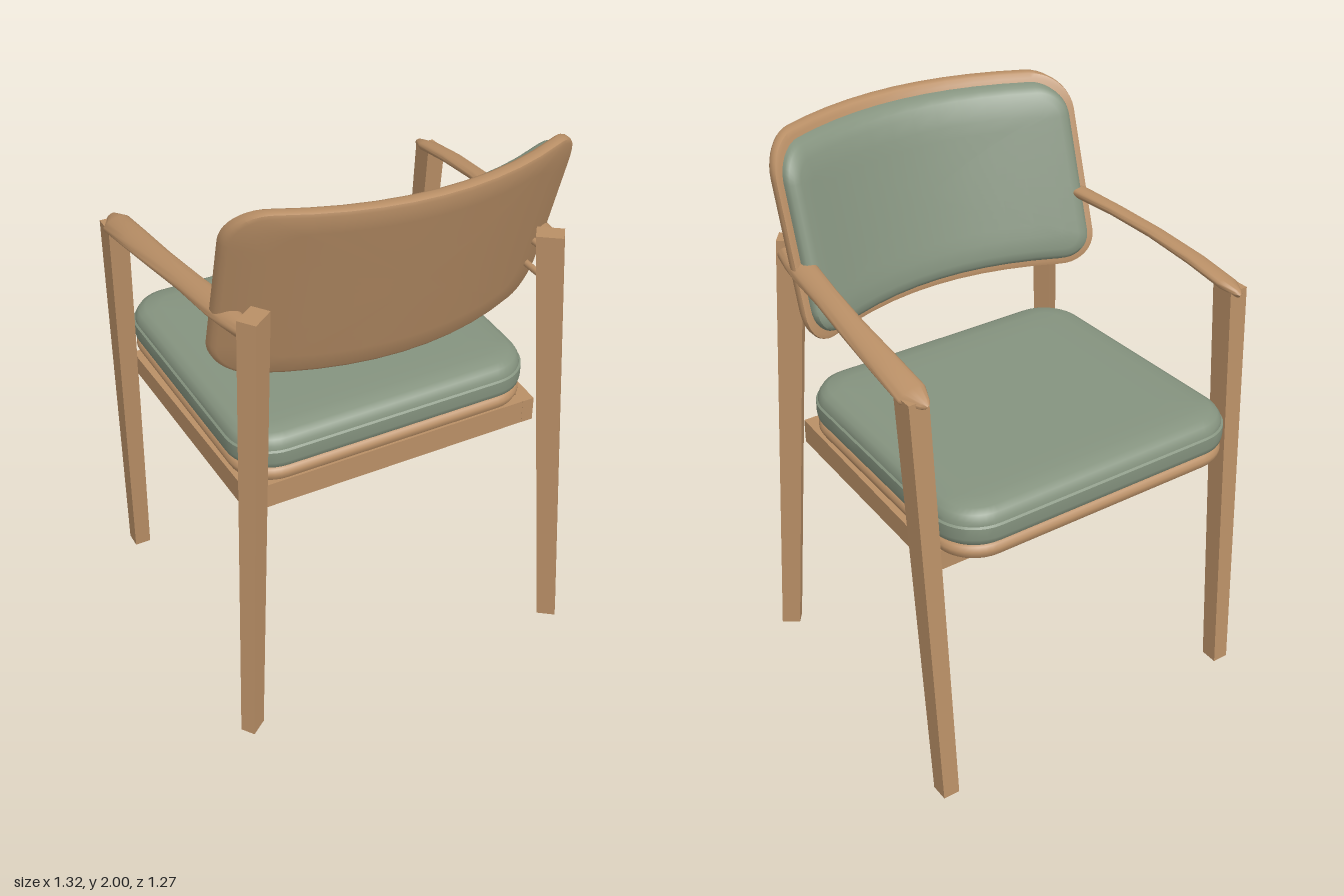
import * as THREE from 'three';
import { toCreasedNormals } from 'three/addons/utils/BufferGeometryUtils.js';

const wood = new THREE.MeshStandardMaterial({ color: 0xb98f66 });
wood.name = 'oak wood';
const fabric = new THREE.MeshStandardMaterial({ color: 0x85937f });
fabric.name = 'sage fabric';

// Skin a stack of closed rings, counter-clockwise seen from the last ring
function skin(rings, crease = 0.7) {
  const n = rings[0].length, index = [];
  for (let i = 0; i < rings.length - 1; i++) {
    for (let j = 0; j < n; j++) {
      const k = (j + 1) % n, a = i * n, b = a + n;
      index.push(a + j, a + k, b + k, a + j, b + k, b + j);
    }
  }
  const g = new THREE.BufferGeometry();
  g.setAttribute('position', new THREE.Float32BufferAttribute(rings.flat(2), 3));
  g.setIndex(index);
  return toCreasedNormals(g, crease);
}

// Rounded rectangle outline with subdivided straight sides
function outline(hw, hh, r) {
  const pts = [], corners = [[1, 1], [-1, 1], [-1, -1], [1, -1]];
  corners.forEach(([sx, sy], c) => {
    for (let i = 0; i <= 10; i++) {
      const t = (c + i / 10) * Math.PI / 2;
      pts.push([sx * (hw - r) + r * Math.cos(t), sy * (hh - r) + r * Math.sin(t)]);
    }
    const [nx, ny] = corners[(c + 1) % 4];
    const t = (c + 1) * Math.PI / 2, p = pts[pts.length - 1];
    const q = [nx * (hw - r) + r * Math.cos(t), ny * (hh - r) + r * Math.sin(t)];
    for (let i = 1; i < 10; i++) pts.push([p[0] + (q[0] - p[0]) * i / 10, p[1] + (q[1] - p[1]) * i / 10]);
  });
  return pts;
}

// Padded or flat panel: profile holds [inset, height]; map places each point in space
function panel(hw, hh, r, profile, map) {
  const ring = ([inset, h], s = 1) =>
    outline(hw - inset, hh - inset, Math.max(r - inset, 0.02)).map(([a, b]) => map(a * s, b * s, h));
  const scales = [0.001, 0.2, 0.4, 0.6, 0.8];
  const last = profile[profile.length - 1];
  return skin([
    ...scales.map(s => ring(profile[0], s)),
    ...profile.map(p => ring(p)),
    ...scales.slice().reverse().map(s => ring(last, s)),
  ]);
}

// Tapered leg from foot to top; sizes are [across, deep], yaw turns the section
function legGeometry(foot, top, footSize, topSize, yaw) {
  const g = new THREE.BoxGeometry(1, 1, 1), p = g.attributes.position;
  const c = Math.cos(yaw), s = Math.sin(yaw);
  for (let i = 0; i < p.count; i++) {
    const up = p.getY(i) > 0, o = up ? top : foot, size = up ? topSize : footSize;
    const u = p.getX(i) * size[0], v = p.getZ(i) * size[1];
    p.setXYZ(i, o[0] + u * c - v * s, o[1], o[2] + u * s + v * c);
  }
  g.computeVertexNormals();
  return g;
}

// Armrest lofted from oval sections: [z, x, y, half width, half height]
function armGeometry() {
  const stations = [
    [-0.535, 0.605, 1.508, 0.004, 0.004], [-0.52, 0.607, 1.51, 0.018, 0.014],
    [-0.46, 0.614, 1.517, 0.047, 0.021], [-0.3, 0.611, 1.542, 0.045, 0.022],
    [-0.1, 0.601, 1.565, 0.041, 0.021], [0.1, 0.582, 1.582, 0.039, 0.021],
    [0.28, 0.562, 1.591, 0.044, 0.023], [0.36, 0.558, 1.593, 0.036, 0.024],
    [0.45, 0.548, 1.594, 0.026, 0.024], [0.455, 0.548, 1.594, 0.001, 0.001],
  ];
  return skin(stations.map(([z, x, y, w, h]) => {
    const ring = [];
    for (let i = 0; i < 20; i++) {
      const t = i / 20 * Math.PI * 2, u = w * Math.cos(t);
      ring.push([x + u, y + h * Math.sin(t) - u * 0.25, z]);
    }
    return ring;
  }), 1);
}

export function createModel() {
  const group = new THREE.Group();
  const add = (name, geometry, material) => {
    const mesh = new THREE.Mesh(geometry, material);
    mesh.name = name;
    group.add(mesh);
    return mesh;
  };
  const box = (name, w, h, d, x, y, z) =>
    add(name, new THREE.BoxGeometry(w, h, d), wood).position.set(x, y, z);

  // Seat, slightly narrower towards the backrest
  const seatMap = (a, b, h) => {
    const z = a - 0.113;
    return [b * (1 - 0.04 * (z + 0.64)), h, z];
  };
  add('seatBoard', panel(0.518, 0.568, 0.15,
    [[0.03, 0.945], [0.008, 0.953], [0, 0.968], [0, 0.98], [0.008, 0.993], [0.025, 1.0]], seatMap), wood);
  add('seatCushion', panel(0.524, 0.574, 0.16,
    [[0.02, 0.998], [0.004, 1.012], [0, 1.03], [0, 1.07], [0.007, 1.075], [0.01, 1.09],
      [0.022, 1.108], [0.045, 1.12], [0.1, 1.127]], seatMap), fabric);

  // Curved, reclined backrest
  const backMap = (a, b, h) => {
    const y = b + 1.665;
    return [a, y, 0.43 + 0.313 * (y - 1.33) - 0.52 * a * a + h];
  };
  add('backrestShell', panel(0.595, 0.335, 0.125,
    [[0.018, -0.055], [0.004, -0.049], [0, -0.038], [0, -0.016], [0.004, -0.006], [0.015, 0]], backMap), wood);
  add('backrestCushion', panel(0.595, 0.335, 0.135,
    [[0.13, -0.115], [0.08, -0.111], [0.055, -0.102], [0.04, -0.088], [0.032, -0.07], [0.03, -0.05]],
    backMap), fabric);

  // Rails under the seat
  box('backRail', 1.06, 0.09, 0.045, 0, 0.905, 0.38);
  box('frontRail', 1.16, 0.075, 0.045, 0, 0.913, -0.485);

  for (const side of [1, -1]) {
    const label = side > 0 ? 'left' : 'right';
    add(label + 'FrontLeg', legGeometry([side * 0.605, 0, -0.583], [side * 0.62, 1.515, -0.465],
      [0.06, 0.064], [0.07, 0.086], 0), wood);
    add(label + 'BackLeg', legGeometry([side * 0.615, 0, 0.513], [side * 0.52, 1.64, 0.447],
      [0.068, 0.052], [0.09, 0.066], side * 0.64), wood);

    // Side rail, shallower towards the front
    const rail = new THREE.BoxGeometry(0.045, 0.09, 0.89), p = rail.attributes.position;
    for (let i = 0; i < p.count; i++) {
      if (p.getZ(i) < 0) {
        p.setX(i, p.getX(i) + side * 0.035);
        if (p.getY(i) < 0) p.setY(i, p.getY(i) + 0.015);
      }
    }
    rail.computeVertexNormals();
    add(label + 'SideRail', rail, wood).position.set(side * 0.525, 0.905, -0.042);

    // Armrest: the right one is mirrored
    add(label + 'Armrest', armGeometry(), wood).scale.x = side;

    // Dowels joining the backrest to the leg
    for (const y of [1.47, 1.57]) {
      const dowel = add(label + 'BackDowel', new THREE.CylinderGeometry(0.012, 0.012, 0.14, 12), wood);
      dowel.rotation.x = Math.PI / 2;
      dowel.position.set(side * 0.515, y, 0.38);
    }
  }
  return group;
}
